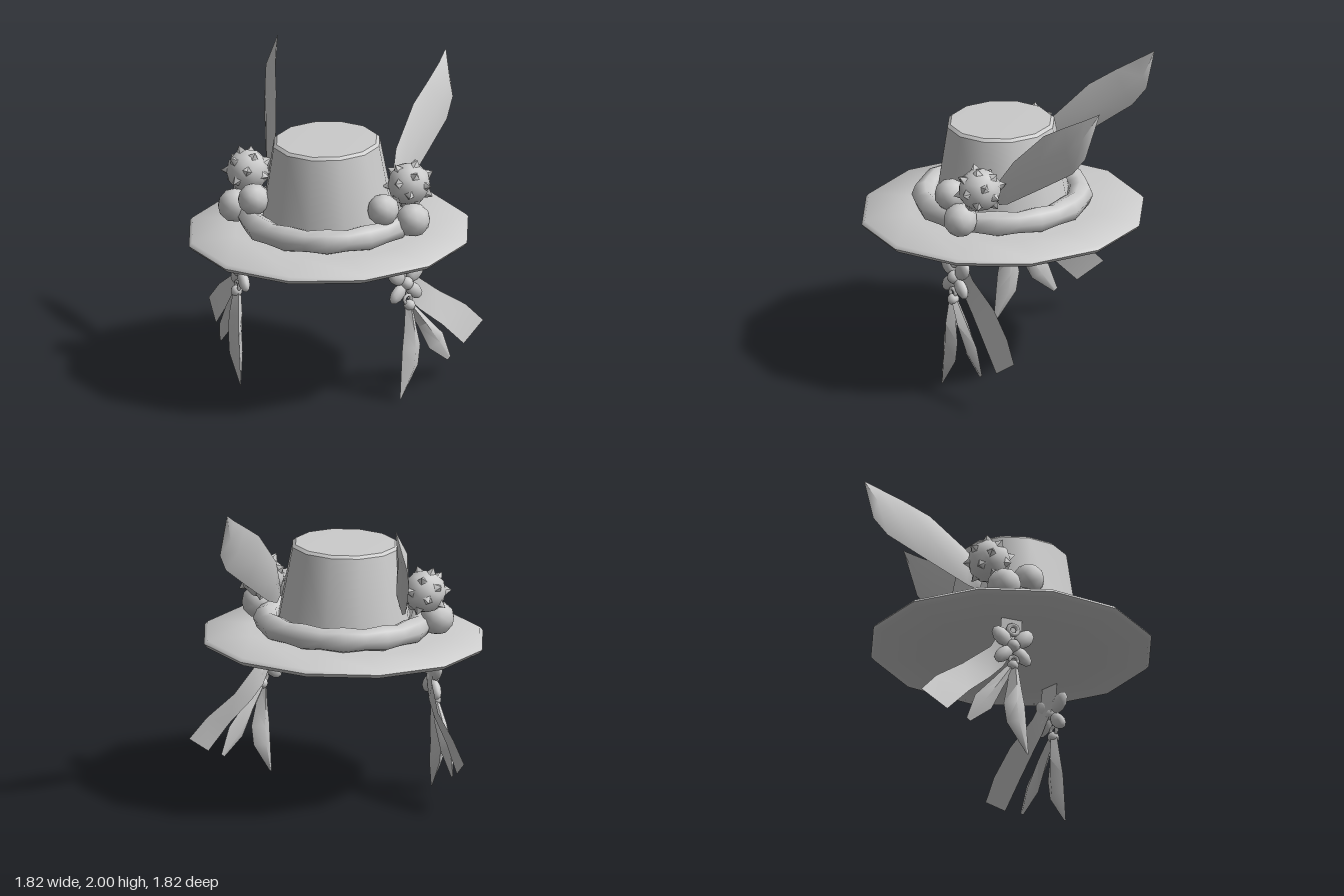
import * as THREE from 'three';
import { mergeVertices, toCreasedNormals } from 'three/addons/utils/BufferGeometryUtils.js';

const material = new THREE.MeshStandardMaterial({ color: 0xcccccc });
const thin = new THREE.MeshStandardMaterial({ color: 0xcccccc, side: THREE.DoubleSide });

function add(parent, name, geometry, x = 0, y = 0, z = 0, mat = material) {
  const mesh = new THREE.Mesh(geometry, mat);
  mesh.name = name;
  mesh.position.set(x, y, z);
  parent.add(mesh);
  return mesh;
}

// Share vertices so that normals run smoothly over seams
function smooth(geometry) {
  geometry.deleteAttribute('uv');
  geometry.deleteAttribute('normal');
  const g = mergeVertices(geometry, 1e-4);
  g.computeVertexNormals();
  return g;
}

const ball = radius => smooth(new THREE.IcosahedronGeometry(radius, 1));

// Twelve-sided turned part
function lathe(points, crease) {
  const g = new THREE.LatheGeometry(points.map(p => new THREE.Vector2(...p)), 12);
  return toCreasedNormals(g, crease);
}

// Leaf with a diamond cross-section; each station is [one edge, other edge]
function blade(stations, thickness) {
  const pos = [], idx = [], n = stations.length;
  const mids = stations.map(([a, b]) => new THREE.Vector3(...a).add(new THREE.Vector3(...b)).multiplyScalar(0.5));
  const axis = mids[n - 1].clone().sub(mids[0]);
  const [wa, wb] = stations[Math.floor(n / 2)].map(q => new THREE.Vector3(...q));
  const normal = wb.sub(wa).cross(axis).normalize();
  stations.forEach(([a, b], i) => {
    const t = thickness * (i === n - 1 ? 0.05 : i === 0 ? 0.6 : 1);
    const m = mids[i];
    pos.push(...a, ...m.clone().addScaledVector(normal, t).toArray(),
      ...b, ...m.clone().addScaledVector(normal, -t).toArray());
  });
  for (let i = 0; i < n - 1; i++)
    for (let k = 0; k < 4; k++) {
      const a = i * 4 + k, b = i * 4 + (k + 1) % 4;
      idx.push(a, b, a + 4, b, b + 4, a + 4);
    }
  const e = (n - 1) * 4;
  idx.push(0, 2, 1, 0, 3, 2, e, e + 1, e + 2, e, e + 2, e + 3);
  const g = new THREE.BufferGeometry();
  g.setAttribute('position', new THREE.Float32BufferAttribute(pos, 3));
  g.setIndex(idx);
  return toCreasedNormals(g, 1.3);
}

// Open strip through pairs of edge points
function strip(stations) {
  const idx = [];
  for (let i = 0; i < stations.length - 1; i++) {
    const a = i * 2;
    idx.push(a, a + 1, a + 2, a + 1, a + 3, a + 2);
  }
  const g = new THREE.BufferGeometry();
  g.setAttribute('position', new THREE.Float32BufferAttribute(stations.flat(2), 3));
  g.setIndex(idx);
  g.computeVertexNormals();
  return g;
}

// Wreath: a torus whose tube swells at every other segment
function wreath() {
  const R = 0.49, g = new THREE.TorusGeometry(R, 0.077, 8, 24).rotateX(Math.PI / 2);
  const p = g.attributes.position;
  for (let i = 0; i < p.count; i++) {
    const a = Math.atan2(p.getZ(i), p.getX(i));
    const s = Math.round(a / (Math.PI / 12)) % 2 ? 1.1 : 0.92;
    const r = R + (Math.hypot(p.getX(i), p.getZ(i)) - R) * s;
    p.setXYZ(i, r * Math.cos(a), p.getY(i) * s, r * Math.sin(a));
  }
  return smooth(g);
}

// Round blossom covered with short four-sided points
function spikyFlower() {
  const g = new THREE.Group(), up = new THREE.Vector3(0, 1, 0), count = 18;
  g.name = 'spikyFlower';
  add(g, 'blossom', ball(0.138));
  for (let i = 0; i < count; i++) {
    const y = 1 - (2 * i + 1) / count, r = Math.sqrt(1 - y * y), a = i * 2.4;
    const d = new THREE.Vector3(r * Math.cos(a), y, r * Math.sin(a));
    const spike = add(g, 'blossomPoint', new THREE.ConeGeometry(0.06, 0.08, 4, 1, true));
    spike.position.copy(d).multiplyScalar(0.132);
    spike.quaternion.setFromUnitVectors(up, d);
  }
  return g;
}

// Hanging charm drawn in its own plane: x along the plane, z outward
function pendant() {
  const g = new THREE.Group();
  g.name = 'pendant';
  add(g, 'ribbon', strip([
    [[-0.07, 0.98, -0.02], [0.07, 0.98, -0.02]],
    [[-0.07, 0.84, -0.03], [0.075, 0.86, -0.03]],
    [[0.05, 0.62, -0.045], [0.13, 0.75, -0.055]],
    [[0.14, 0.53, -0.04], [0.315, 0.61, -0.08]],
    [[0.295, 0.4, -0.015], [0.508, 0.48, -0.045]],
    [[0.453, 0.24, 0], [0.624, 0.355, -0.015]],
  ]), 0, 0, 0, thin);
  add(g, 'upperRing', new THREE.TorusGeometry(0.034, 0.016, 6, 8), 0, 0.86, 0);
  // Four-petalled flower
  for (const sx of [-1, 1])
    for (const sy of [-1, 1]) {
      const petal = ball(1).scale(0.078, sy > 0 ? 0.054 : 0.046, 0.036);
      add(g, 'petal', petal, sx * (sy > 0 ? 0.075 : 0.062), 0.75 + sy * 0.06, -0.008).rotation.z = sx * sy * 0.75;
    }
  add(g, 'flowerCentre', ball(0.045), 0, 0.75, 0);
  add(g, 'lowerRing', new THREE.TorusGeometry(0.028, 0.012, 6, 8), 0, 0.645, 0.01);
  add(g, 'knot', ball(0.038), 0.01, 0.605, 0.015);
  add(g, 'longTassel', blade([
    [[-0.025, 0.6, 0.015], [0.03, 0.6, 0.015]],
    [[-0.045, 0.45, 0.025], [0.055, 0.45, 0.025]],
    [[-0.065, 0.33, 0.03], [0.08, 0.33, 0.03]],
    [[-0.075, 0.2, 0.03], [0.06, 0.2, 0.03]],
    [[-0.09, 0, 0.03], [-0.075, 0.005, 0.03]],
  ], 0.045));
  add(g, 'shortTassel', blade([
    [[0, 0.59, 0.01], [0.04, 0.61, 0.01]],
    [[0.08, 0.44, 0.015], [0.14, 0.5, 0.015]],
    [[0.16, 0.28, 0.02], [0.27, 0.36, 0.02]],
    [[0.305, 0.17, 0.02], [0.33, 0.19, 0.02]],
  ], 0.04));
  g.position.set(0.55, 0, 0.14);
  g.rotation.y = 0.95;
  return g;
}

// Ornaments on the +x side
function ornaments() {
  const g = new THREE.Group();
  g.name = 'leftOrnaments';
  const flower = spikyFlower();
  flower.position.set(0.53, 1.36, -0.02);
  g.add(flower, pendant());
  add(g, 'frontBerry', ball(0.103), 0.425, 1.255, 0.21);
  add(g, 'sideBerry', ball(0.11), 0.585, 1.16, 0.09);
  add(g, 'feather', blade([
    [[0.4, 1.34, -0.08], [0.41, 1.22, -0.11]],
    [[0.395, 1.52, -0.2], [0.45, 1.25, -0.18]],
    [[0.45, 1.75, -0.42], [0.53, 1.42, -0.43]],
    [[0.5, 1.85, -0.58], [0.6, 1.58, -0.66]],
    [[0.535, 1.93, -0.72], [0.615, 1.7, -0.75]],
    [[0.55, 1.99, -0.82], [0.555, 1.98, -0.82]],
  ], 0.032));
  return g;
}

// Mirror every mesh across x = 0 with its face order reversed
function mirror(group) {
  const out = new THREE.Group();
  out.name = 'rightOrnaments';
  group.updateMatrixWorld(true);
  group.traverse(o => {
    if (!o.isMesh) return;
    const g = o.geometry.clone().applyMatrix4(o.matrixWorld).scale(-1, 1, 1);
    const idx = g.index ? Array.from(g.index.array) : [...Array(g.attributes.position.count).keys()];
    for (let i = 0; i < idx.length; i += 3) [idx[i], idx[i + 1]] = [idx[i + 1], idx[i]];
    g.setIndex(idx);
    add(out, o.name, g, 0, 0, 0, o.material);
  });
  return out;
}

export function createModel() {
  const model = new THREE.Group();
  model.name = 'decoratedHat';

  const hat = new THREE.Group();
  hat.name = 'hat';
  hat.position.set(-0.003, 1.007, 0);
  hat.rotation.set(0.025, 0, 0.014);
  add(hat, 'brim', lathe([[0, -0.055], [0.6, -0.055], [0.89, -0.025], [0.91, 0], [0.89, 0.022], [0.6, 0.04], [0, 0.05]], 1.2));
  add(hat, 'crown', lathe([[0.445, 0.03], [0.345, 0.605], [0.325, 0.622], [0, 0.628]], 0.6));
  add(hat, 'wreath', wreath(), 0, 0.115, 0);
  model.add(hat);

  // Side ornaments lean slightly with the hat
  const sides = new THREE.Group();
  sides.name = 'sideOrnaments';
  const left = ornaments();
  sides.add(left, mirror(left));
  sides.rotation.z = 0.014;
  sides.position.set(0.009, 0.005, 0);
  model.add(sides);
  return model;
}
